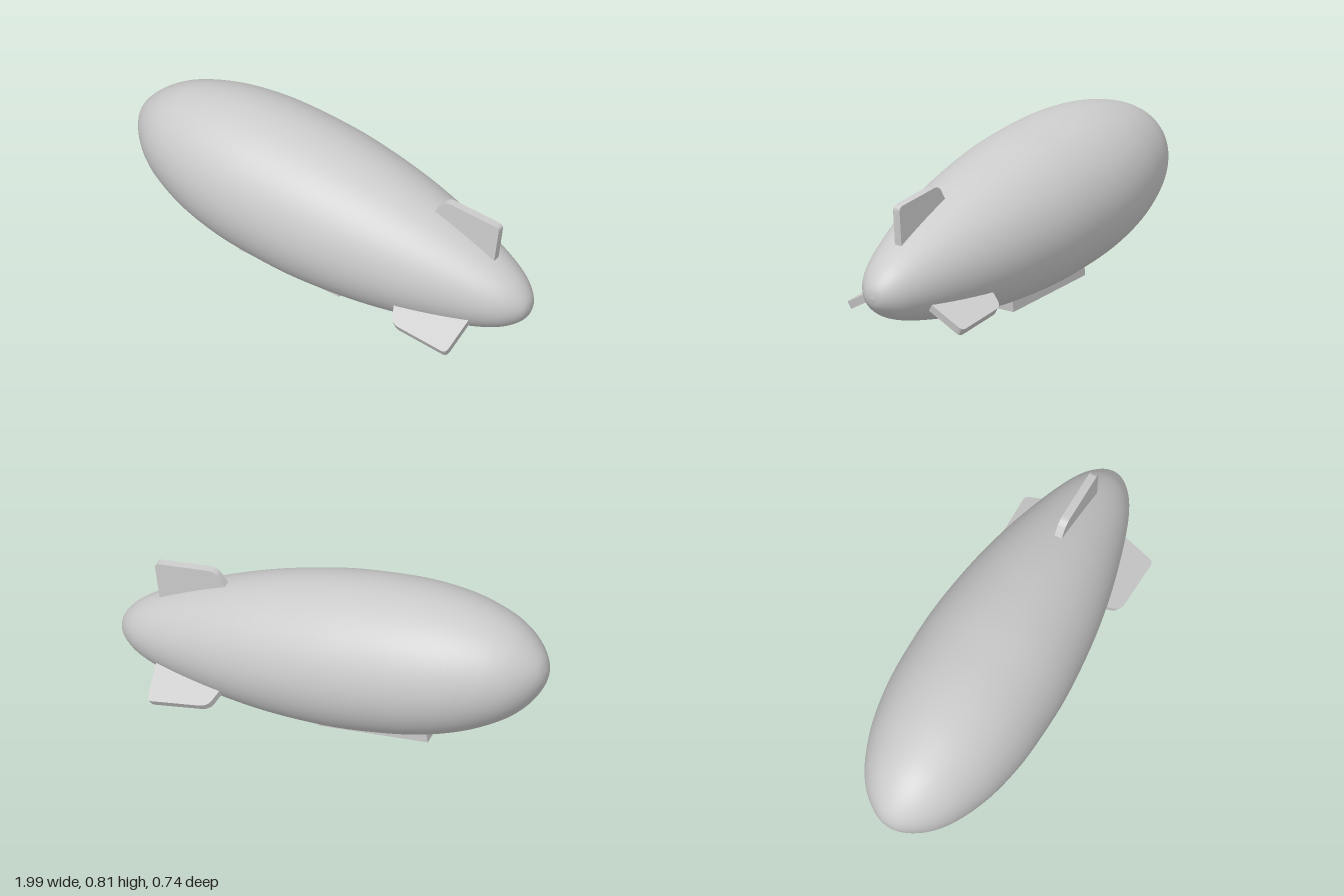
import * as THREE from 'three';
import { toCreasedNormals } from 'three/addons/utils/BufferGeometryUtils.js';

const material = new THREE.MeshStandardMaterial({ color: 0xcccccc });

// Extrude a side outline (x along the hull, y away from its axis), centred on z
function slab(shape, thickness) {
  const geo = new THREE.ExtrudeGeometry(shape, { depth: thickness, bevelEnabled: false, curveSegments: 10 });
  geo.translate(0, 0, -thickness / 2);
  return toCreasedNormals(geo, 0.6);
}

function add(parent, geo, name) {
  const mesh = new THREE.Mesh(geo, material);
  mesh.name = name;
  parent.add(mesh);
  return mesh;
}

export function createModel() {
  const model = new THREE.Group();
  model.name = 'airship';

  // Everything is built along +x from the nose, then tilted into its flying attitude
  const ship = new THREE.Group();
  ship.name = 'tiltedAirship';
  model.add(ship);

  // Hull: blunt nose, widest ahead of the middle, tapering to a small round tail
  const profile = [
    [0, 0], [0.014, 0.06], [0.06, 0.129], [0.13, 0.194], [0.23, 0.251], [0.39, 0.307],
    [0.59, 0.342], [0.81, 0.352], [1.01, 0.347], [1.26, 0.319], [1.47, 0.279], [1.65, 0.231],
    [1.81, 0.178], [1.91, 0.133], [1.97, 0.09], [2.007, 0.045], [2.018, 0],
  ].map(([s, r]) => new THREE.Vector2(r, s));
  const points = new THREE.SplineCurve(profile).getPoints(96);
  points.forEach((p) => { p.x = Math.max(p.x, 0); });
  points[0].x = points[points.length - 1].x = 0;
  const hull = new THREE.LatheGeometry(points, 96);
  hull.rotateZ(-Math.PI / 2);
  add(ship, hull, 'hull');

  // Three tail fins with rounded outer corners
  const fin = new THREE.Shape();
  fin.moveTo(1.42, 0.12);
  fin.lineTo(1.812, 0.12);
  fin.lineTo(1.806, 0.335);
  fin.quadraticCurveTo(1.805, 0.359, 1.782, 0.359);
  fin.lineTo(1.56, 0.354);
  fin.quadraticCurveTo(1.52, 0.353, 1.505, 0.322);
  fin.lineTo(1.478, 0.265);
  fin.closePath();
  const finGeo = slab(fin, 0.036);
  ['topFin', 'leftFin', 'rightFin'].forEach((name, i) => {
    add(ship, finGeo, name).rotation.x = (i * Math.PI * 2) / 3;
  });

  // Gondola under the belly, a little deeper at the front
  const gondola = new THREE.Shape([
    [0.612, -0.419], [1.129, -0.394], [1.129, -0.2], [0.612, -0.2],
  ].map(([s, y]) => new THREE.Vector2(s, y)));
  add(ship, slab(gondola, 0.135), 'gondola');

  // Attitude: nose up, turned slightly and rolled a touch
  const nose = new THREE.Vector3(-0.997, 0.562, 0.073);
  const tail = new THREE.Vector3(0.998, 0.257, -0.075);
  const axis = tail.sub(nose).normalize();
  const side = new THREE.Vector3().crossVectors(axis, new THREE.Vector3(0, 1, -0.03)).normalize();
  const up = new THREE.Vector3().crossVectors(side, axis);
  ship.quaternion.setFromRotationMatrix(new THREE.Matrix4().makeBasis(axis, up, side));
  ship.position.copy(nose);

  return model;
}
